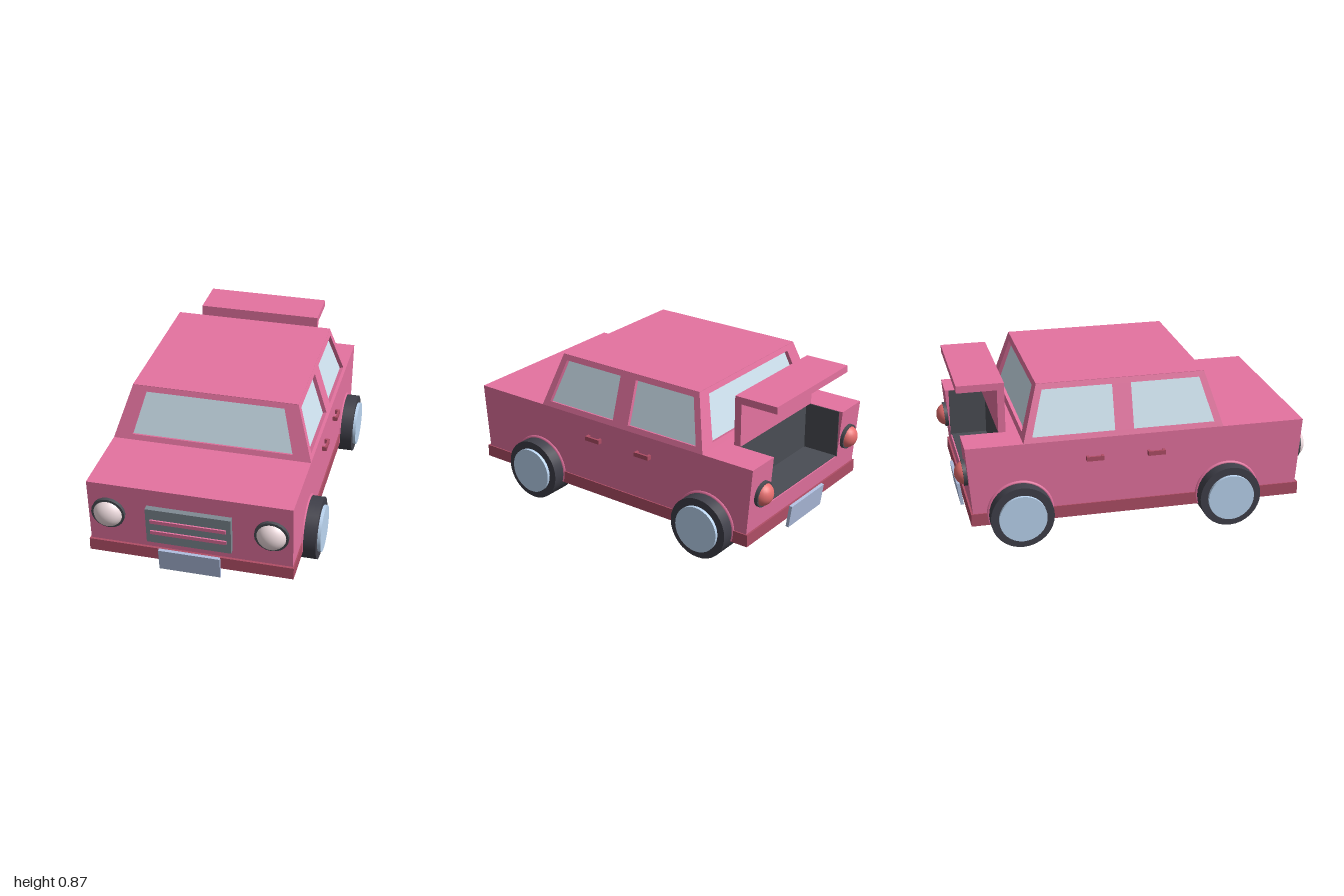
import * as THREE from 'three';

const mat = (color, side = THREE.FrontSide) => new THREE.MeshStandardMaterial({ color, side });
const PINK = mat(0xe573a0), SILL = mat(0xb04e66), GLASS = mat(0xcfe3f0, THREE.DoubleSide);
const TYRE = mat(0x40404a), HUB = mat(0xbcd6f2), GREY = mat(0x7f8a93), PLATE = mat(0xb0bfe0);
const DARK = mat(0x4a4d54), LAMP = mat(0xf2dfe2), RED = mat(0xe87070);

export function createModel() {
  const car = new THREE.Group();
  car.name = 'car';

  const add = (name, geo, material, x = 0, y = 0, z = 0, parent = car) => {
    const m = new THREE.Mesh(geo, material);
    m.name = name;
    m.position.set(x, y, z);
    parent.add(m);
    return m;
  };
  // Box given by its limits
  const block = (name, material, x0, x1, y0, y1, z0, z1) =>
    add(name, new THREE.BoxGeometry(x1 - x0, y1 - y0, z1 - z0), material,
      (x0 + x1) / 2, (y0 + y1) / 2, (z0 + z1) / 2);
  // Box whose front and back ends slope: zAt(y) gives [back, front]
  const sloped = (name, x0, x1, y0, y1, zAt) => {
    const g = new THREE.BoxGeometry(x1 - x0, y1 - y0, 1);
    g.translate((x0 + x1) / 2, (y0 + y1) / 2, 0);
    const p = g.attributes.position;
    for (let i = 0; i < p.count; i++) p.setZ(i, zAt(p.getY(i))[p.getZ(i) > 0 ? 1 : 0]);
    g.computeVertexNormals();
    return add(name, g, PINK);
  };

  // Lower body with the open boot at the back
  const LEAN = 0.08, front = y => 0.945 - (0.57 - y) * LEAN, back = y => -0.95 + (0.57 - y) * LEAN;
  const BOOT_Z = -0.71, BOOT_Y = 0.29, BOOT_X = 0.36;
  sloped('mainBody', -0.56, 0.56, 0.18, 0.57, y => [BOOT_Z, front(y)]);
  sloped('rearPanel', -BOOT_X, BOOT_X, 0.18, BOOT_Y, y => [back(y), BOOT_Z]);
  sloped('leftRearWing', BOOT_X, 0.56, 0.18, 0.57, y => [back(y), BOOT_Z]);
  sloped('rightRearWing', -0.56, -BOOT_X, 0.18, 0.57, y => [back(y), BOOT_Z]);
  block('sill', SILL, -0.567, 0.567, 0.12, 0.19, -0.93, 0.93);

  // Boot lining and raised lid
  block('bootFloor', DARK, -BOOT_X, BOOT_X, BOOT_Y, BOOT_Y + 0.004, -0.92, BOOT_Z);
  block('bootBackWall', DARK, -BOOT_X, BOOT_X, BOOT_Y, 0.568, BOOT_Z - 0.004, BOOT_Z);
  for (const s of [-1, 1])
    block('bootSideWall', DARK, s * 0.358 - 0.002, s * 0.358 + 0.002, BOOT_Y, 0.568, -0.928, BOOT_Z);
  block('bootLidTop', PINK, -0.365, 0.36, 0.57, 0.855, -0.74, -0.7);
  block('bootLidRear', PINK, -0.365, 0.36, 0.815, 0.855, -0.96, -0.74);

  // Cabin walls: leaning panels with window holes and recessed glass
  const H = 0.3;
  const wall = (name, turn, dist, lean, outline, windows) => {
    const side = new THREE.Group();
    side.name = name;
    side.rotation.y = turn;
    car.add(side);
    const stretch = Math.hypot(lean, H) / H;
    const points = pts => pts.map(([x, y]) => new THREE.Vector2(x, (y - 0.57) * stretch));
    const shape = new THREE.Shape(points(outline));
    const pane = new THREE.ShapeGeometry(shape);
    shape.holes = windows.map(w => new THREE.Path(points(w)));
    const tilt = new THREE.Group();
    tilt.position.set(0, 0.57, dist);
    tilt.rotation.x = -Math.atan2(lean, H);
    side.add(tilt);
    const frame = new THREE.ExtrudeGeometry(shape, { depth: 0.03, bevelEnabled: false });
    add(name + 'Frame', frame, PINK, 0, 0, -0.03, tilt);
    add(name + 'Glass', pane, GLASS, 0, 0, -0.022, tilt);
  };
  const endOutline = [[-0.56, 0.57], [0.56, 0.57], [0.465, 0.87], [-0.465, 0.87]];
  const endWindow = [[-0.455, 0.6], [0.455, 0.6], [0.39, 0.84], [-0.39, 0.84]];
  wall('windscreen', 0, 0.48, 0.09, endOutline, [endWindow]);
  wall('rearWindow', Math.PI, 0.635, 0.09, endOutline, [endWindow]);
  for (const s of [1, -1]) {
    const flip = pts => pts.map(([z, y]) => [-s * z, y]);
    wall(s > 0 ? 'leftSide' : 'rightSide', s * Math.PI / 2, 0.56, 0.095,
      flip([[0.48, 0.57], [-0.635, 0.57], [-0.545, 0.87], [0.39, 0.87]]), [
        flip([[0.43, 0.6], [-0.025, 0.6], [-0.025, 0.84], [0.36, 0.84]]),
        flip([[-0.13, 0.6], [-0.585, 0.6], [-0.515, 0.84], [-0.13, 0.84]])]);
  }
  block('roof', PINK, -0.465, 0.465, 0.85, 0.872, -0.545, 0.39);

  // Wheels with hub caps and arches
  for (const s of [-1, 1]) for (const z of [0.51, -0.66]) {
    const wheel = new THREE.Group();
    wheel.name = (z > 0 ? 'front' : 'rear') + 'Wheel';
    wheel.position.set(0, 0.175, z);
    car.add(wheel);
    const disc = (name, r, x0, x1, m) => {
      const g = new THREE.CylinderGeometry(r, r, x1 - x0, 32).rotateZ(Math.PI / 2);
      add(name, g, m, s * (x0 + x1) / 2, 0, 0, wheel);
    };
    disc('tyre', 0.174, 0.48, 0.637, TYRE);
    disc('hubCap', 0.131, 0.6, 0.655, HUB);
    const arch = new THREE.TorusGeometry(0.176, 0.011, 6, 32, Math.PI + 0.6);
    arch.rotateZ(-0.3).rotateY(Math.PI / 2);
    add('wheelArch', arch, PINK, s * 0.558, 0, 0, wheel);
  }

  // Lamps: dark rim and domed lens
  const lamp = (name, x, y, z, dir, r, rim, bulge, m) => {
    const g = new THREE.CylinderGeometry(rim, rim, 0.03, 20).rotateX(Math.PI / 2);
    add(name + 'Rim', g, DARK, x, y, z, car).rotation.x = dir * LEAN;
    add(name, new THREE.SphereGeometry(r, 24, 16).scale(1, 1, bulge / r), m, x, y, z);
  };
  for (const s of [-1, 1]) {
    lamp('headlight', s * 0.447, 0.387, 0.935, 1, 0.082, 0.093, 0.062, LAMP);
    lamp('tailLight', s * 0.445, 0.39, -0.94, -1, 0.065, 0.073, 0.06, RED);
  }

  // Grille with two bars
  const grille = new THREE.Group();
  grille.name = 'grille';
  grille.position.set(0, 0.355, 0.935);
  grille.rotation.x = LEAN;
  car.add(grille);
  add('grillePanel', new THREE.BoxGeometry(0.466, 0.22, 0.05), GREY, 0, 0, 0, grille);
  for (const y of [0.035, -0.037])
    add('grilleBar', new THREE.BoxGeometry(0.416, 0.022, 0.014), PINK, 0, y, 0.027, grille);

  // Blank plates, front and back
  for (const s of [-1, 1])
    add('plate', new THREE.BoxGeometry(0.34, 0.132, 0.018), PLATE, 0, 0.134, s * 0.942)
      .rotation.x = s * 0.14;

  // Door handles: grip on two posts
  for (const s of [-1, 1]) for (const z of [0.097, -0.247]) {
    add('handleGrip', new THREE.BoxGeometry(0.012, 0.025, 0.096), SILL, s * 0.582, 0.459, z);
    for (const e of [-1, 1])
      add('handlePost', new THREE.BoxGeometry(0.03, 0.025, 0.014), SILL, s * 0.569, 0.459, z + e * 0.041);
  }
  return car;
}
